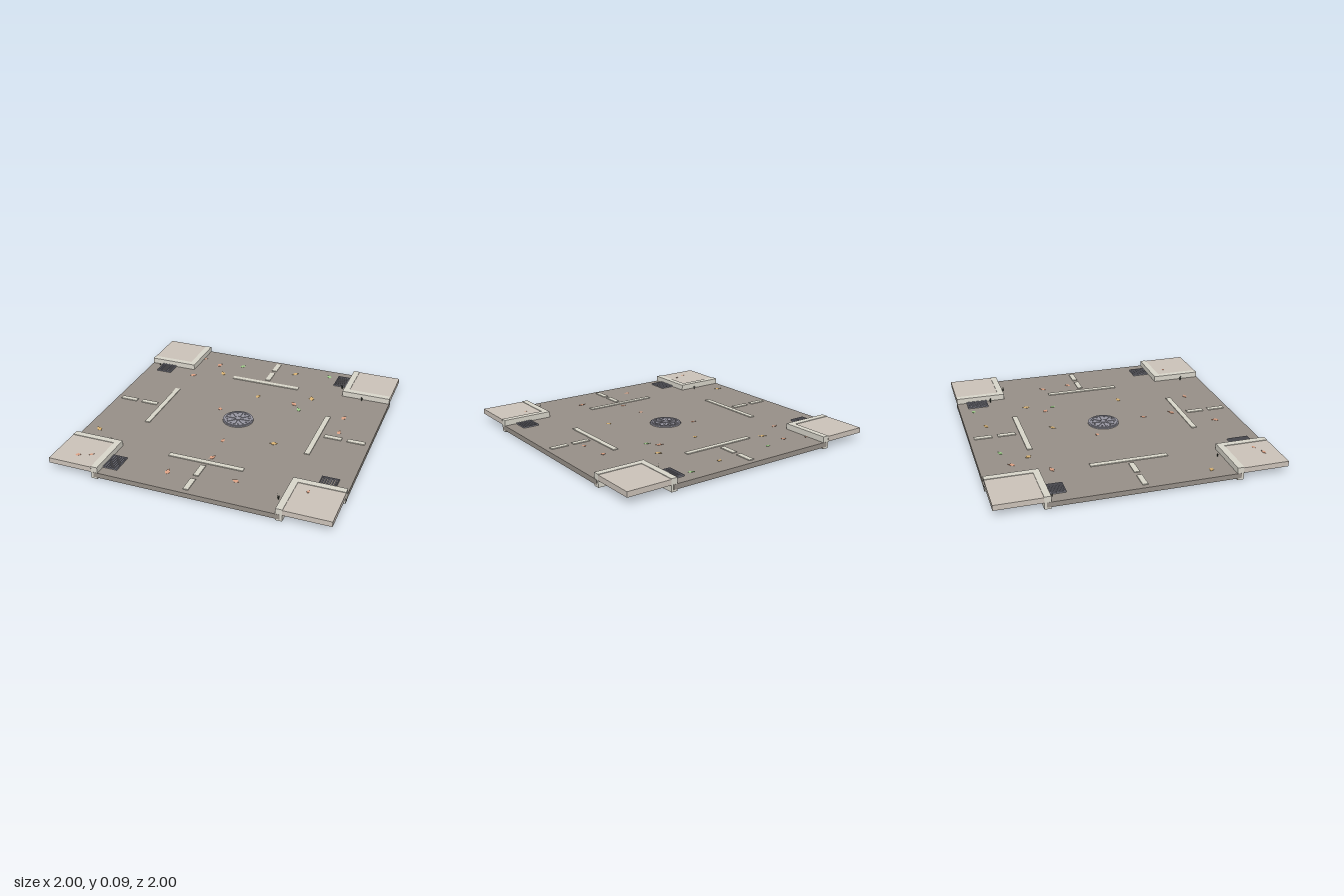
import * as THREE from 'three';

const mat = (color, double = false) => new THREE.MeshStandardMaterial({
  color, flatShading: true, side: double ? THREE.DoubleSide : THREE.FrontSide });
const ROAD = mat(0x968f87), CURB = mat(0xd8d5ca), PAVING = mat(0xcbc2b8), PAINT = mat(0xd8d5c8);
const IRON = mat(0x9695a0), GRATE = mat(0x85858f), WEED = mat(0x3b4238, true);
const LEAVES = [mat(0xdba083, true), mat(0xd9b272, true), mat(0x9ccb87, true)];
const ROAD_TOP = 0.048, WALK_TOP = 0.086;

function add(parent, name, geometry, material, x = 0, y = 0, z = 0) {
  const mesh = new THREE.Mesh(geometry, material);
  mesh.name = name;
  mesh.position.set(x, y, z);
  parent.add(mesh);
  return mesh;
}

// Box given by its x, y and z ranges
function block(parent, name, material, x0, x1, y0, y1, z0, z1) {
  return add(parent, name, new THREE.BoxGeometry(x1 - x0, y1 - y0, z1 - z0), material,
    (x0 + x1) / 2, (y0 + y1) / 2, (z0 + z1) / 2);
}

function group(parent, name, x = 0, y = 0, z = 0) {
  const g = new THREE.Group();
  g.name = name;
  g.position.set(x, y, z);
  parent.add(g);
  return g;
}

// Flat outline extruded upward from y0 to y1
function slab(points, y0, y1) {
  const shape = new THREE.Shape(points.map(([x, z]) => new THREE.Vector2(x, -z)));
  return new THREE.ExtrudeGeometry(shape, { depth: y1 - y0, bevelEnabled: false })
    .rotateX(-Math.PI / 2).translate(0, y0, 0);
}

function drainGrate(parent, x, z, w, d) {
  const g = group(parent, 'drainGrate', x, ROAD_TOP, z);
  const t = 0.006, h = 0.01;
  for (const s of [-1, 1]) {
    block(g, 'grateRail', GRATE, -w / 2, w / 2, 0, h, s * (d - t) / 2 - t / 2, s * (d - t) / 2 + t / 2);
    block(g, 'grateSide', GRATE, s * (w - t) / 2 - t / 2, s * (w - t) / 2 + t / 2, 0, h, -d / 2, d / 2);
  }
  const bars = 6;
  for (let i = 1; i <= bars; i++) {
    const bx = -w / 2 + w * i / (bars + 1);
    block(g, 'grateBar', GRATE, bx - 0.004, bx + 0.004, 0, h - 0.002, -d / 2 + t, d / 2 - t);
  }
}

function manhole(parent) {
  const g = group(parent, 'manholeCover', 0, ROAD_TOP, 0);
  add(g, 'coverDisc', new THREE.CylinderGeometry(0.113, 0.115, 0.008, 32), IRON, 0, 0.004);
  const ring = new THREE.Shape().absarc(0, 0, 0.104, 0, Math.PI * 2);
  ring.holes.push(new THREE.Path().absarc(0, 0, 0.094, 0, Math.PI * 2, true));
  add(g, 'coverRing', new THREE.ExtrudeGeometry(ring,
    { depth: 0.004, bevelEnabled: false, curveSegments: 32 }).rotateX(-Math.PI / 2), IRON, 0, 0.008);
  add(g, 'coverHub', new THREE.CylinderGeometry(0.022, 0.022, 0.005, 16), IRON, 0, 0.0105);
  for (let i = 0; i < 8; i++) {
    const spoke = group(g, 'coverSpoke', 0, 0.008, 0);
    spoke.rotation.y = i * Math.PI / 4;
    block(spoke, 'rib', IRON, 0.028, 0.086, 0, 0.004, -0.006, 0.006);
    const stud = group(g, 'coverStud', 0, 0.008, 0);
    stud.rotation.y = (i + 0.5) * Math.PI / 4;
    add(stud, 'stud', new THREE.CylinderGeometry(0.006, 0.006, 0.005, 6), IRON, 0.08, 0.0025);
  }
}

// Pointed leaf blade, folded along its midrib, with a short stem
const leafShape = new THREE.Shape();
[[-0.025, 0], [-0.014, 0.013], [-0.002, 0.017], [0.006, 0.012], [0.028, 0],
  [0.006, -0.012], [-0.002, -0.017], [-0.014, -0.013]].forEach(([x, y], i) =>
  i ? leafShape.lineTo(x, y) : leafShape.moveTo(x, y));
const leafGeometry = new THREE.ExtrudeGeometry(leafShape, { depth: 0.002, bevelEnabled: false })
  .rotateX(-Math.PI / 2);

function leaf(parent, [x, z, color, angle, size = 1], y) {
  const g = group(parent, 'fallenLeaf', x, y + 0.002, z);
  g.rotation.set(0.08, angle, 0.06);
  g.scale.setScalar(size);
  add(g, 'leafBlade', leafGeometry, LEAVES[color]);
  block(g, 'leafStem', LEAVES[color], -0.036, -0.022, 0, 0.002, -0.001, 0.001);
}

// Tuft of thin tapering blades leaning outward
function weed(parent, x, z, height) {
  const g = group(parent, 'weedTuft', x, ROAD_TOP, z);
  for (let i = 0; i < 5; i++) {
    const h = height * (1 - 0.1 * i);
    const blade = add(g, 'weedBlade', new THREE.ConeGeometry(0.004, h, 4).translate(0, h / 2, 0), WEED);
    blade.rotation.set(0.22 * Math.sin(i * 2.5), 0, 0.22 * Math.cos(i * 2.5));
  }
}

export function createModel() {
  const model = new THREE.Group();
  model.name = 'crossroads';

  // Cross-shaped road bed
  const r = 0.66;
  add(model, 'roadBed', slab([[-r, -1], [r, -1], [r, -r], [1, -r], [1, r], [r, r],
    [r, 1], [-r, 1], [-r, r], [-1, r], [-1, -r], [-r, -r]].reverse(), 0.012, ROAD_TOP), ROAD);

  // Corner pavements: thin raised slab inside an L-shaped curb
  for (const sx of [-1, 1]) for (const sz of [-1, 1]) {
    const corner = group(model, 'cornerPavement');
    const a = 0.63, b = 0.676, e = 0.999;
    let outline = [[a, a], [e, a], [e, b], [b, b], [b, e], [a, e]].map(([x, z]) => [x * sx, z * sz]);
    add(corner, 'curb', slab(outline, 0, 0.09), CURB);
    const mid = (b + 1) / 2, size = 1 - b;
    add(corner, 'pavingSlab', new THREE.BoxGeometry(size, WALK_TOP - 0.048, size), PAVING,
      sx * mid, (WALK_TOP + 0.048) / 2, sz * mid);
  }

  // Painted stop lines and centre dashes, one set per arm
  for (let i = 0; i < 4; i++) {
    const arm = group(model, 'laneMarkings');
    arm.rotation.y = i * Math.PI / 2;
    const y0 = ROAD_TOP - 0.002, y1 = ROAD_TOP + 0.006;
    block(arm, 'stopLine', PAINT, -0.275, 0.275, y0, y1, 0.596, 0.634);
    for (const z of [0.664, 0.834]) block(arm, 'centreDash', PAINT, -0.019, 0.019, y0, y1, z, z + 0.129);
  }

  manhole(model);

  // Drains beside the curbs
  drainGrate(model, 0.575, -0.85, 0.105, 0.155);
  drainGrate(model, -0.575, 0.845, 0.105, 0.155);
  drainGrate(model, -0.85, -0.572, 0.12, 0.122);
  drainGrate(model, 0.852, 0.562, 0.12, 0.122);

  // Leaves: x, z, colour, heading, size
  [[-0.615, -0.845, 0, 0.5, 0.6], [-0.46, -0.78, 0, 1.1], [-0.27, -0.825, 2, 0.6, 0.9],
    [0.18, -0.85, 1, 0.6, 0.9], [0.45, -0.9, 2, 2.5, 0.9], [-0.38, -0.65, 1, 2.2],
    [-0.595, -0.535, 0, 0.3], [0.42, -0.5, 1, 1.9, 1.1], [0.02, -0.385, 1, 1, 0.9],
    [0.315, -0.37, 0, 2.5], [0.375, -0.3, 2, 2.2, 0.9], [0.73, -0.3, 0, 1.1],
    [0.75, -0.085, 0, 1.4, 0.9], [-0.185, -0.1, 0, 2.4, 0.8], [0.36, 0.225, 1, 0.1],
    [0.005, 0.315, 0, 1.5, 0.8], [-0.9, 0.485, 1, 2.6], [0.02, 0.545, 0, 0.9],
    [-0.195, 0.815, 0, 1.6, 1.1], [0.27, 0.755, 0, 3]].forEach(l => leaf(model, l, ROAD_TOP));
  [[-0.83, 0.895, 0, 0.3, 0.8], [-0.745, 0.86, 0, 0.6, 0.6], [0.77, 0.75, 0, 1.2, 0.6]]
    .forEach(l => leaf(model, l, WALK_TOP));

  // Weeds growing along the curbs
  [[-0.93, -0.61, 0.02], [0.79, -0.61, 0.04], [0.6, -0.745, 0.045],
    [-0.735, 0.6, 0.03], [0.6, 0.845, 0.045]].forEach(([x, z, h]) => weed(model, x, z, h));

  return model;
}
